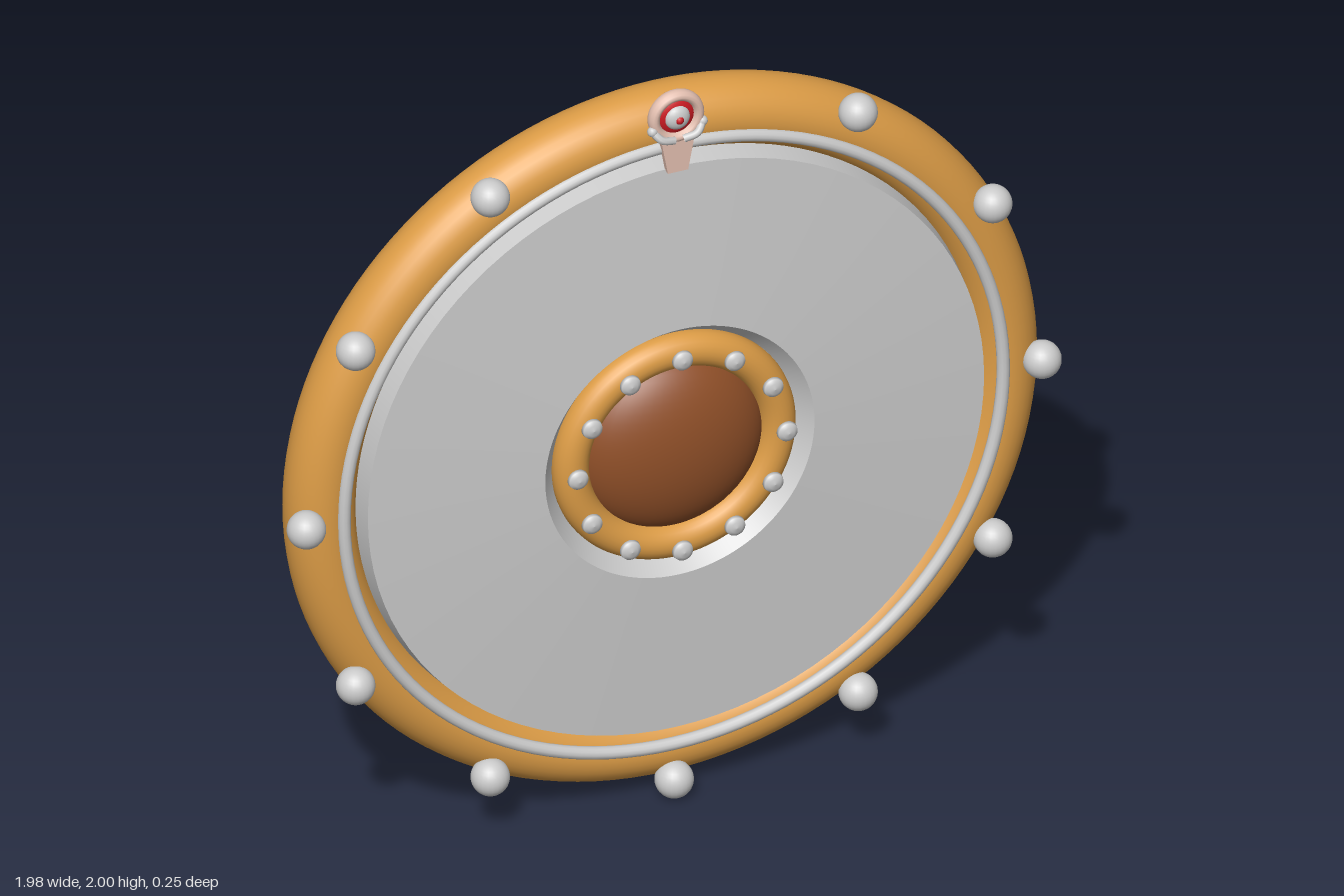
import * as THREE from 'three';

const CY = 0.995; // height of the shield's centre

const mat = (color) => new THREE.MeshStandardMaterial({ color, side: THREE.DoubleSide });

export function createModel() {
  const root = new THREE.Group();
  root.name = 'roundShield';
  const gold = mat(0xdc9c46), steel = mat(0xcccccc), brown = mat(0x8f4f28);
  const pink = mat(0xe3bfb0), red = mat(0xcc1a22);

  const add = (name, geo, material, x = 0, y = 0, z = 0, parent = root) => {
    const m = new THREE.Mesh(geo, material);
    m.name = name;
    m.position.set(x, y, z);
    parent.add(m);
    return m;
  };
  // Turned part about the z axis from [radius, z] points
  const turned = (pts, smooth = false) => {
    let v = pts.map(([r, z]) => new THREE.Vector2(r, z));
    if (smooth) v = new THREE.SplineCurve(v).getPoints(40);
    return new THREE.LatheGeometry(v, 96).rotateX(Math.PI / 2);
  };

  // Rim and the thin wire ring on its inner slope
  add('rim', new THREE.TorusGeometry(0.873, 0.087, 32, 128), gold, 0, CY, -0.043);
  add('wireRing', new THREE.TorusGeometry(0.845, 0.016, 12, 128), steel, 0, CY, 0.042);

  // Shallow front plate, its outer edge and the recess round the boss
  add('frontPlate', turned([[0.345, 0.08], [0.79, 0.056]]), steel, 0, CY);
  add('plateEdge', turned([[0.79, 0.056], [0.802, -0.02]]), steel, 0, CY);
  add('recessWall', turned([[0.31, 0.035], [0.345, 0.08]]), steel, 0, CY);

  // Smooth back sheet; its bowl sits slightly high so the boss ring shows below
  const back = turned([[0.17, -0.06], [0.24, -0.05], [0.285, -0.02], [0.315, 0.02],
    [0.345, 0.045], [0.4, 0.058], [0.55, 0.052], [0.7, 0.03], [0.8, -0.03]], true);
  const p = back.attributes.position;
  for (let i = 0; i < p.count; i++) {
    const r = Math.hypot(p.getX(i), p.getY(i));
    p.setY(i, p.getY(i) + 0.026 * (1 - THREE.MathUtils.smoothstep(r, 0.32, 0.42)));
  }
  back.computeVertexNormals();
  add('backPlate', back, steel, 0, CY);

  // Central boss and its ring
  add('boss', new THREE.SphereGeometry(0.24, 48, 32).scale(1, 1, 0.5), brown, 0, CY, 0.005);
  add('bossRing', new THREE.TorusGeometry(0.265, 0.045, 24, 96), gold, 0, CY, 0.04);

  // Twelve small rivets on the ring, eleven balls round the rim
  const rivet = turned([[0.012, 0], [0.015, 0.012], [0.026, 0.016], [0.024, 0.025],
    [0.014, 0.03], [0.0001, 0.033]]);
  const ball = new THREE.SphereGeometry(0.047, 24, 16);
  for (let i = 0; i < 12; i++) {
    const a = (i * Math.PI) / 6, s = Math.sin(a), c = Math.cos(a);
    add('rivet', rivet, steel, 0.268 * s, CY + 0.268 * c, 0.078);
    if (i) add('rimBall', ball, steel, 0.943 * s, CY + 0.943 * c, 0.045);
  }

  // Clasp at the top: ring, red disc, knob, side claws and a tapering tongue
  const clasp = new THREE.Group();
  clasp.name = 'clasp';
  clasp.position.set(0, 1.929, 0.055);
  root.add(clasp);
  add('claspRing', new THREE.TorusGeometry(0.057, 0.014, 12, 40).scale(1, 1, 1.3), pink, 0, 0, 0, clasp);
  add('claspDisc', new THREE.SphereGeometry(0.052, 28, 16).scale(1, 1, 0.4), red, 0, 0, -0.006, clasp);
  add('claspKnob', new THREE.SphereGeometry(0.032, 20, 14).scale(1, 1, 0.6), steel, 0, 0, 0.008, clasp);
  add('claspJewel', new THREE.SphereGeometry(0.011, 12, 8), red, 0, 0, 0.022, clasp);
  for (const s of [-1, 1]) {
    const claw = new THREE.CatmullRomCurve3([
      new THREE.Vector3(s * 0.066, -0.022, 0.008),
      new THREE.Vector3(s * 0.045, -0.045, 0.024),
      new THREE.Vector3(s * 0.012, -0.056, 0.02)]);
    add('claspClaw', new THREE.TubeGeometry(claw, 12, 0.01, 8), steel, 0, 0, 0, clasp);
    add('clawTip', new THREE.SphereGeometry(0.013, 12, 8), steel, s * 0.064, -0.024, 0.01, clasp);
  }
  const tongue = new THREE.Shape([[-0.043, -0.055], [-0.026, -0.15], [0.026, -0.15], [0.043, -0.055]]
    .map(([x, y]) => new THREE.Vector2(x, y)));
  add('claspTongue', new THREE.ExtrudeGeometry(tongue, { depth: 0.018, bevelEnabled: false }),
    pink, 0, 0, -0.004, clasp);

  return root;
}
